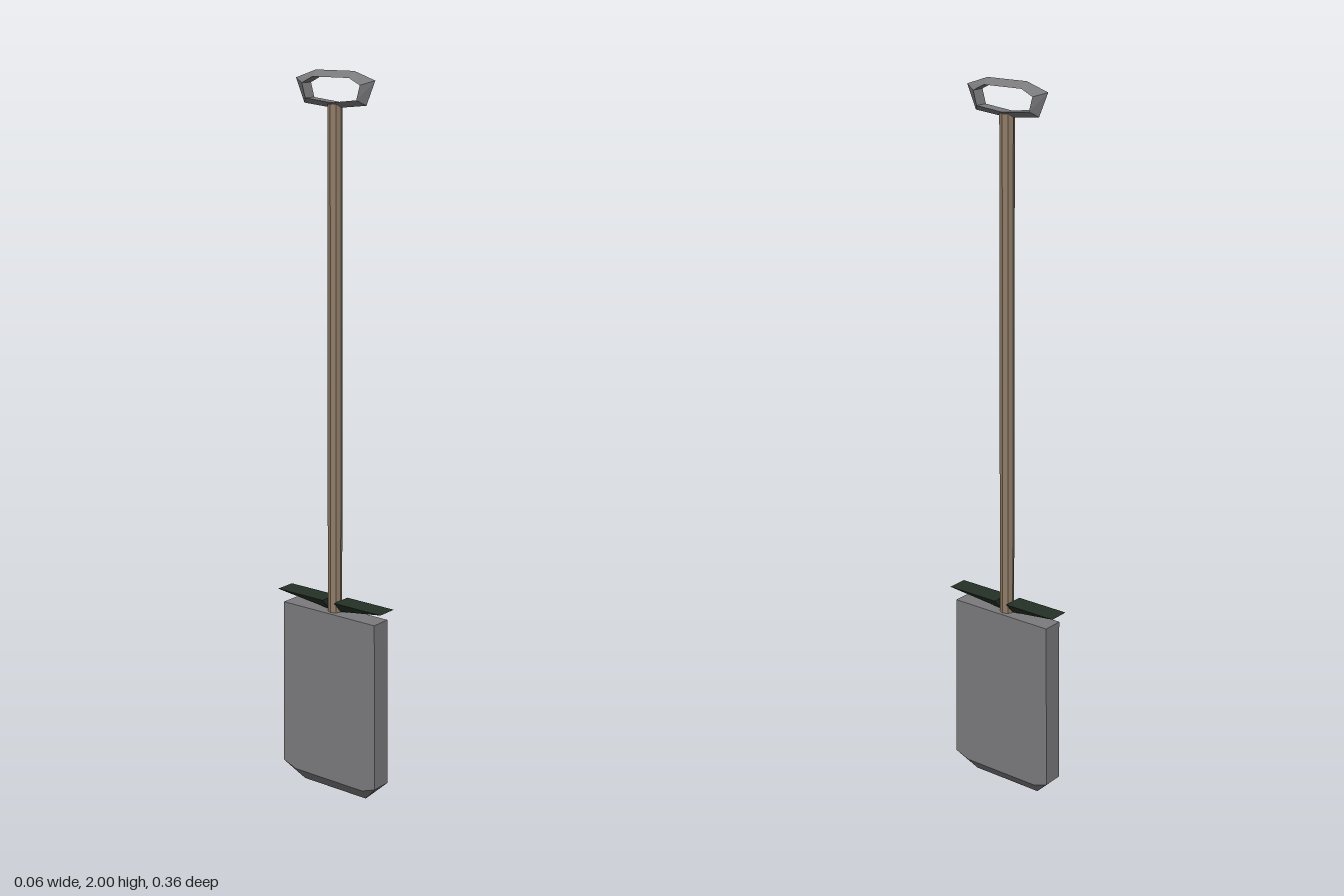
import * as THREE from 'three';
import { ConvexGeometry } from 'three/addons/geometries/ConvexGeometry.js';

const flat = (name, color) => {
  const m = new THREE.MeshStandardMaterial({ color, flatShading: true });
  m.name = name;
  return m;
};
const v = (x, y, z) => new THREE.Vector3(x, y, z);

// Closed loop with a triangular section: sharp outer ridge, flat inner face.
function ridgedLoop(outer, inner, halfWidth) {
  const n = outer.length;
  const section = (i) => {
    const [oz, oy] = outer[i % n], [iz, iy] = inner[i % n];
    return [[0, oy, oz], [halfWidth, iy, iz], [-halfWidth, iy, iz]];
  };
  const pos = [];
  for (let i = 0; i < n; i++) {
    const a = section(i), b = section(i + 1);
    for (let k = 0; k < 3; k++) {
      const l = (k + 1) % 3;
      pos.push(...a[k], ...a[l], ...b[l], ...a[k], ...b[l], ...b[k]);
    }
  }
  const g = new THREE.BufferGeometry();
  g.setAttribute('position', new THREE.Float32BufferAttribute(pos, 3));
  g.computeVertexNormals();
  return g;
}

export function createModel() {
  const steel = flat('grey steel', 0x7b7b7e);
  const wood = flat('brown wood', 0x8f7c67);
  const dark = flat('dark green', 0x253026);

  const group = new THREE.Group();
  group.name = 'shovel';
  const add = (name, geometry, material) => {
    const mesh = new THREE.Mesh(geometry, material);
    mesh.name = name;
    group.add(mesh);
    return mesh;
  };

  // Blade: thick slab tapering to a cutting edge with clipped corners
  const points = [];
  for (const s of [1, -1]) {
    for (const x of [0.03, -0.03]) {
      points.push(v(x, 0.533, s * 0.159), v(x, 0.053, s * 0.164), v(x, 0.037, s * 0.12));
    }
    points.push(v(0, 0, s * 0.11));
  }
  add('blade', new ConvexGeometry(points), steel);

  // Foot rests: flat treads with a keel sloping down to the shaft
  for (const s of [1, -1]) {
    add(s > 0 ? 'frontFootRest' : 'backFootRest', new ConvexGeometry([
      v(-0.03, 0.567, s * 0.18), v(0.03, 0.567, s * 0.18),
      v(0.03, 0.567, s * 0.02), v(-0.03, 0.567, s * 0.02),
      v(0, 0.534, s * 0.02),
    ]), dark);
  }

  // Shaft
  const shaft = add('shaft', new THREE.CylinderGeometry(0.02, 0.02, 1.385, 8), wood);
  shaft.position.y = 0.53 + 1.385 / 2;

  // Grip: ridged loop, points as [z, y]
  const outer = [[0.063, 2], [-0.063, 2], [-0.13, 1.978], [-0.102, 1.914], [0, 1.904], [0.102, 1.914], [0.13, 1.978]];
  const inner = [[0.06, 1.983], [-0.06, 1.983], [-0.095, 1.966], [-0.084, 1.928], [0, 1.919], [0.084, 1.928], [0.095, 1.966]];
  add('grip', ridgedLoop(outer, inner, 0.019), steel);

  return group;
}
